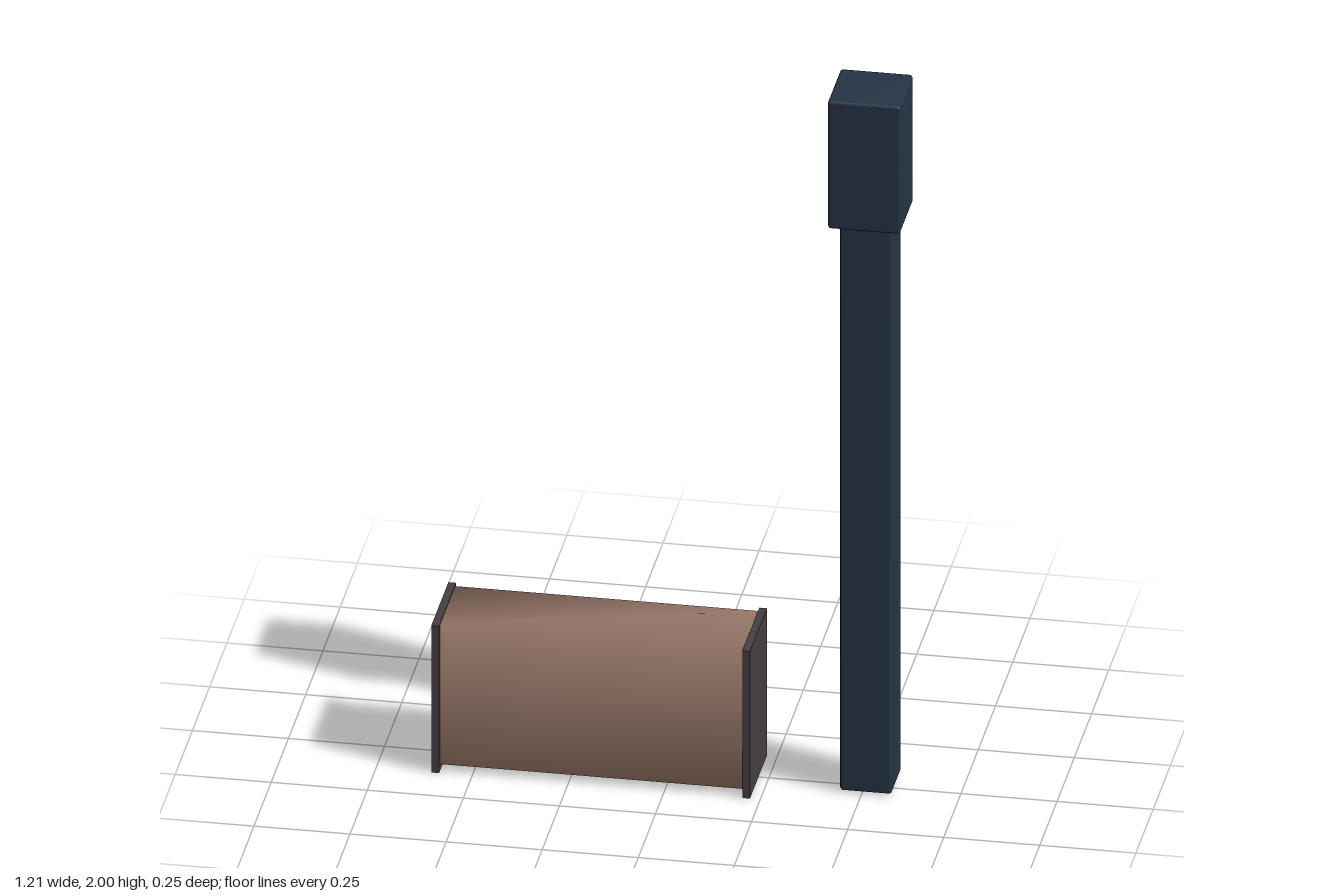
import * as THREE from 'three';
import { mergeVertices } from 'three/addons/utils/BufferGeometryUtils.js';
import { RoundedBoxGeometry } from 'three/addons/geometries/RoundedBoxGeometry.js';

const navy = new THREE.MeshStandardMaterial({ name: 'navy', color: 0x263446 });
const brown = new THREE.MeshStandardMaterial({ name: 'brown', color: 0xa48272 });
const charcoal = new THREE.MeshStandardMaterial({ name: 'charcoal', color: 0x463f45 });

// Share corners so that shading runs softly across the edges
function soften(geometry) {
  geometry.deleteAttribute('uv');
  geometry.deleteAttribute('normal');
  const merged = mergeVertices(geometry, 1e-4);
  merged.clearGroups();
  merged.computeVertexNormals();
  return merged;
}

// Block spanning two opposite corners, optionally with a small bevel
function block(name, material, min, max, bevel = 0, soft = true) {
  const size = max.map((v, i) => v - min[i]);
  const raw = bevel ? new RoundedBoxGeometry(...size, 1, bevel) : new THREE.BoxGeometry(...size);
  const mesh = new THREE.Mesh(soft ? soften(raw) : raw, material);
  mesh.name = name;
  mesh.position.set(...max.map((v, i) => (v + min[i]) / 2));
  return mesh;
}

export function createModel() {
  const model = new THREE.Group();
  model.name = 'postAndBench';

  // Tall post with a larger square head
  const post = new THREE.Group();
  post.name = 'post';
  post.add(
    block('postShaft', navy, [0.443, 0.005, -0.086], [0.578, 1.64, 0.049], 0.008),
    block('postHead', navy, [0.416, 1.632, -0.115], [0.605, 2, 0.075], 0.008)
  );

  // Low block held between two thin end plates
  const bench = new THREE.Group();
  bench.name = 'bench';
  bench.add(block('benchBody', brown, [-0.59, 0.02, -0.111], [0.207, 0.42, 0.111]));
  for (const [name, x] of [['rightEndPlate', -0.606], ['leftEndPlate', 0.203]]) {
    bench.add(block(name, charcoal, [x, 0, -0.124], [x + 0.02, 0.423, 0.123], 0, false));
  }

  model.add(post, bench);
  return model;
}
